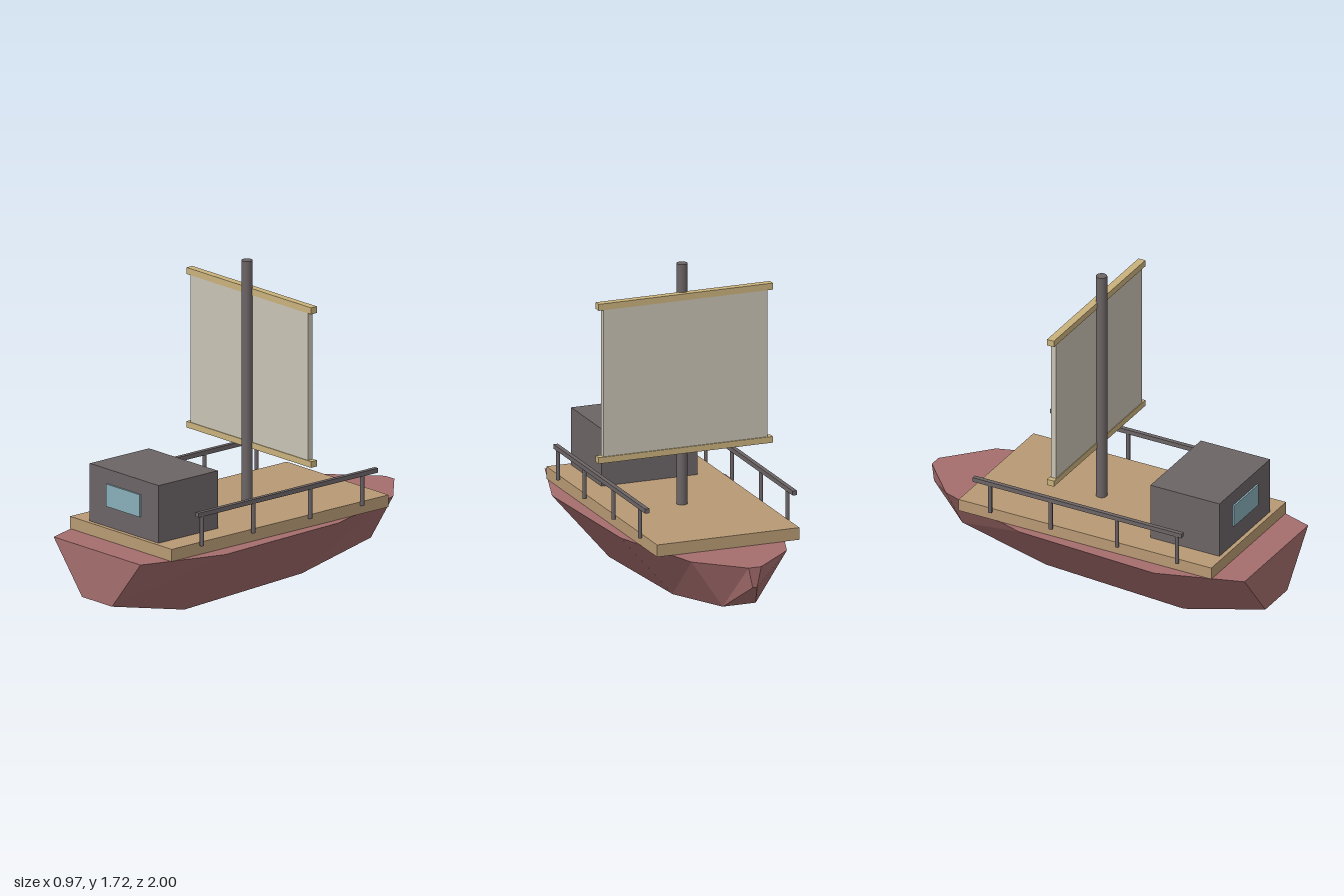
import * as THREE from 'three';

const material = (name, color) => {
  const m = new THREE.MeshStandardMaterial({ color });
  m.name = name;
  return m;
};

export function createModel() {
  const boat = new THREE.Group();
  boat.name = 'sailingBoat';

  const hullRed = material('hullRed', 0xa56d6d);
  const deckWood = material('deckWood', 0xb89a74);
  const darkGrey = material('darkGrey', 0x6c6466);
  const sailCloth = material('sailCloth', 0xc9c3b5);
  const sparWood = material('sparWood', 0xc9b27c);
  const glass = material('glass', 0x8aafba);
  hullRed.flatShading = true;

  const add = (name, geometry, mat, parent = boat) => {
    const mesh = new THREE.Mesh(geometry, mat);
    mesh.name = name;
    parent.add(mesh);
    return mesh;
  };

  // Box given by its extents on each axis
  const box = (name, mat, [x0, x1], [y0, y1], [z0, z1], parent) => {
    const mesh = add(name, new THREE.BoxGeometry(x1 - x0, y1 - y0, z1 - z0), mat, parent);
    mesh.position.set((x0 + x1) / 2, (y0 + y1) / 2, (z0 + z1) / 2);
    return mesh;
  };

  // Hull: trapezoid sections from bow to stern [z, top half-width, keel height]
  const sections = [
    [1, 0.337, 0.093],
    [0.55, 0.483, 0.0],
    [-0.265, 0.44, 0.03],
    [-0.79, 0.265, 0.105],
    [-1, 0.035, 0.257],
  ];
  const top = 0.365;
  const rings = sections.map(([z, w, y]) => [
    [-w, top, z], [-w * 0.345, y, z], [w * 0.345, y, z], [w, top, z],
  ]);
  const points = [];
  const quad = (a, b, c, d) => points.push(...a, ...b, ...c, ...a, ...c, ...d);
  for (let i = 0; i < rings.length - 1; i++) {
    const near = rings[i], far = rings[i + 1];
    for (let j = 0; j < 4; j++) {
      const k = (j + 1) % 4;
      quad(near[j], far[j], far[k], near[k]);
    }
  }
  quad(...rings[0]);
  quad(...rings[rings.length - 1].slice().reverse());
  const hullGeometry = new THREE.BufferGeometry();
  hullGeometry.setAttribute('position', new THREE.Float32BufferAttribute(points, 3));
  hullGeometry.computeVertexNormals();
  add('hull', hullGeometry, hullRed);

  // Deck and cabin
  box('deck', deckWood, [-0.395, 0.395], [0.365, 0.43], [-0.643, 0.838]);
  box('cabin', darkGrey, [-0.267, 0.267], [0.43, 0.738], [0.41, 0.815]);
  box('cabinWindow', glass, [-0.13, 0.13], [0.54, 0.66], [0.815, 0.8245]);

  // Mast
  const mast = add('mast', new THREE.CylinderGeometry(0.029, 0.029, 1.3, 16), darkGrey);
  mast.position.set(0, 1.07, -0.024);

  // Sail between two spars
  box('sail', sailCloth, [-0.455, 0.455], [0.74, 1.54], [-0.07, -0.04]);
  box('upperSpar', sparWood, [-0.484, 0.484], [1.535, 1.57], [-0.076, -0.036]);
  box('lowerSpar', sparWood, [-0.484, 0.484], [0.714, 0.747], [-0.076, -0.036]);

  // Railings on both sides
  for (const side of [-1, 1]) {
    const railing = new THREE.Group();
    railing.name = side > 0 ? 'leftRailing' : 'rightRailing';
    railing.position.x = side * 0.41;
    boat.add(railing);
    box('handrail', darkGrey, [-0.012, 0.012], [0.574, 0.598], [-0.547, 0.677], railing);
    for (const z of [0.645, 0.293, -0.095, -0.45]) {
      const post = add('railPost', new THREE.CylinderGeometry(0.011, 0.011, 0.16, 8), darkGrey, railing);
      post.position.set(0, 0.495, z);
    }
  }

  return boat;
}
